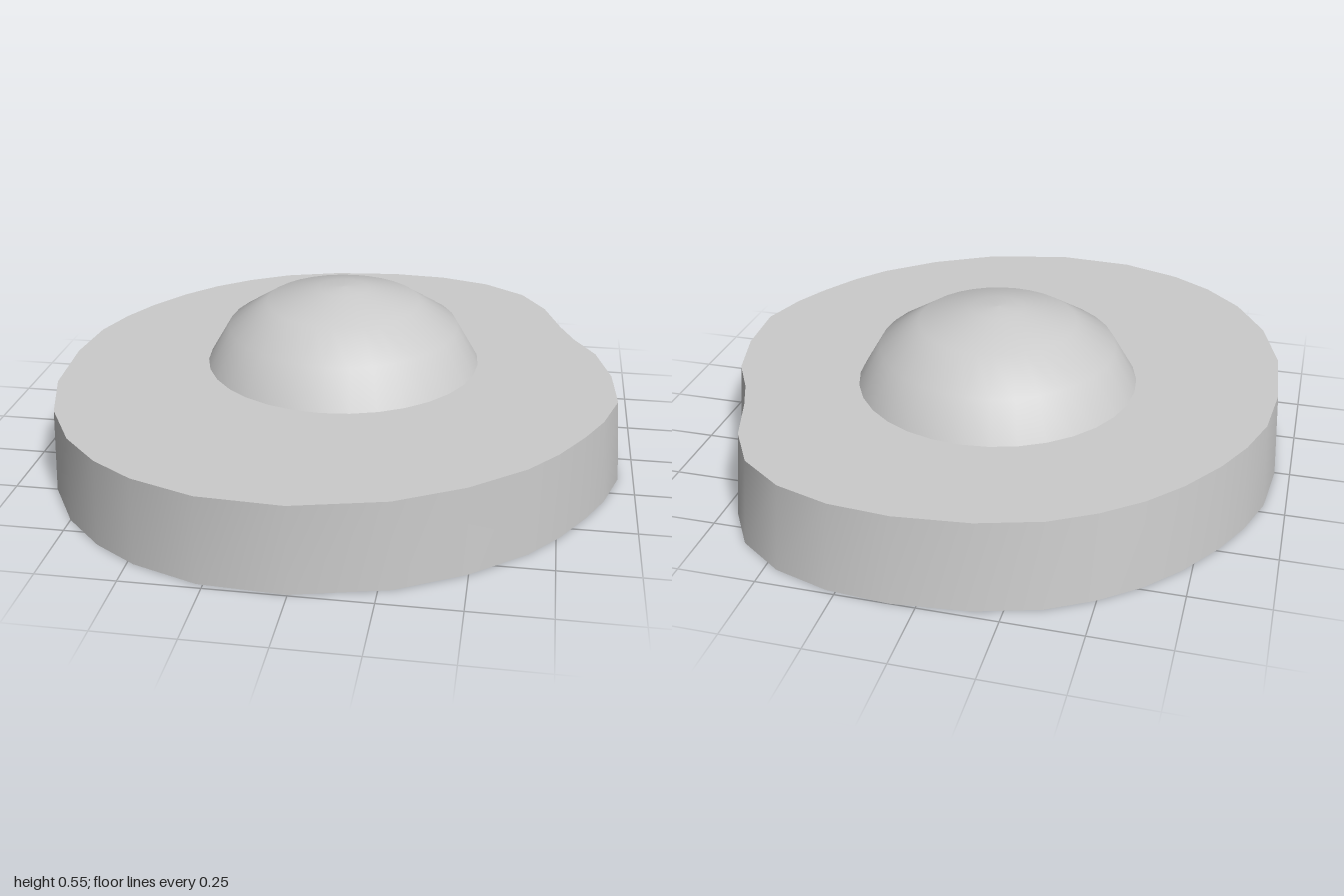
import * as THREE from 'three';
import { toCreasedNormals } from 'three/addons/utils/BufferGeometryUtils.js';

const material = new THREE.MeshStandardMaterial({ color: 0xcccccc });

// Foot outline of the slab as [x, z], from the front round through +x
const OUTLINE = [
  [0, 0.995], [0.29, 0.925], [0.5, 0.81], [0.67, 0.67], [0.76, 0.56], [0.84, 0.43], [0.9, 0.31], [0.95, 0.15],
  [0.935, -0.06], [0.885, -0.25], [0.81, -0.38], [0.76, -0.5], [0.7, -0.68], [0.61, -0.825], [0.46, -0.93], [0.28, -0.985],
  [0.08, -1], [-0.16, -0.975], [-0.36, -0.915], [-0.5, -0.835], [-0.62, -0.74], [-0.72, -0.63], [-0.815, -0.49], [-0.88, -0.36],
  [-0.93, -0.21], [-0.95, 0], [-0.93, 0.27], [-0.86, 0.5], [-0.75, 0.685], [-0.62, 0.815], [-0.48, 0.905], [-0.27, 0.98],
];
const SLAB_HEIGHT = 0.285;

// Irregular slab: a cylinder whose rim is moved onto the outline, tapering upwards
function slabGeometry() {
  const n = OUTLINE.length;
  const geometry = new THREE.CylinderGeometry(1, 1, SLAB_HEIGHT, n);
  geometry.translate(0, SLAB_HEIGHT / 2, 0);
  const p = geometry.attributes.position;
  for (let i = 0; i < p.count; i++) {
    if (Math.hypot(p.getX(i), p.getZ(i)) < 0.5) continue; // cap centres stay
    const turn = Math.atan2(p.getX(i), p.getZ(i)) / (2 * Math.PI);
    const [x, z] = OUTLINE[(Math.round(turn * n) + n) % n];
    const top = p.getY(i) > SLAB_HEIGHT / 2;
    p.setX(i, top ? x * 0.98 - 0.003 : x);
    p.setZ(i, top ? z * 0.983 + 0.013 : z);
  }
  return toCreasedNormals(geometry, 0.7);
}

// Dome profile as [radius, y], bottom to top
function domeGeometry() {
  const profile = [[0.467, SLAB_HEIGHT], [0.393, 0.412], [0.262, 0.495], [0.088, 0.54], [0, 0.545]];
  return new THREE.LatheGeometry(profile.map(([r, y]) => new THREE.Vector2(r, y)), 32);
}

export function createModel() {
  const model = new THREE.Group();
  const base = new THREE.Mesh(slabGeometry(), material);
  base.name = 'baseSlab';
  const dome = new THREE.Mesh(domeGeometry(), material);
  dome.name = 'dome';
  dome.position.set(-0.005, 0, -0.078);
  model.add(base, dome);
  return model;
}
